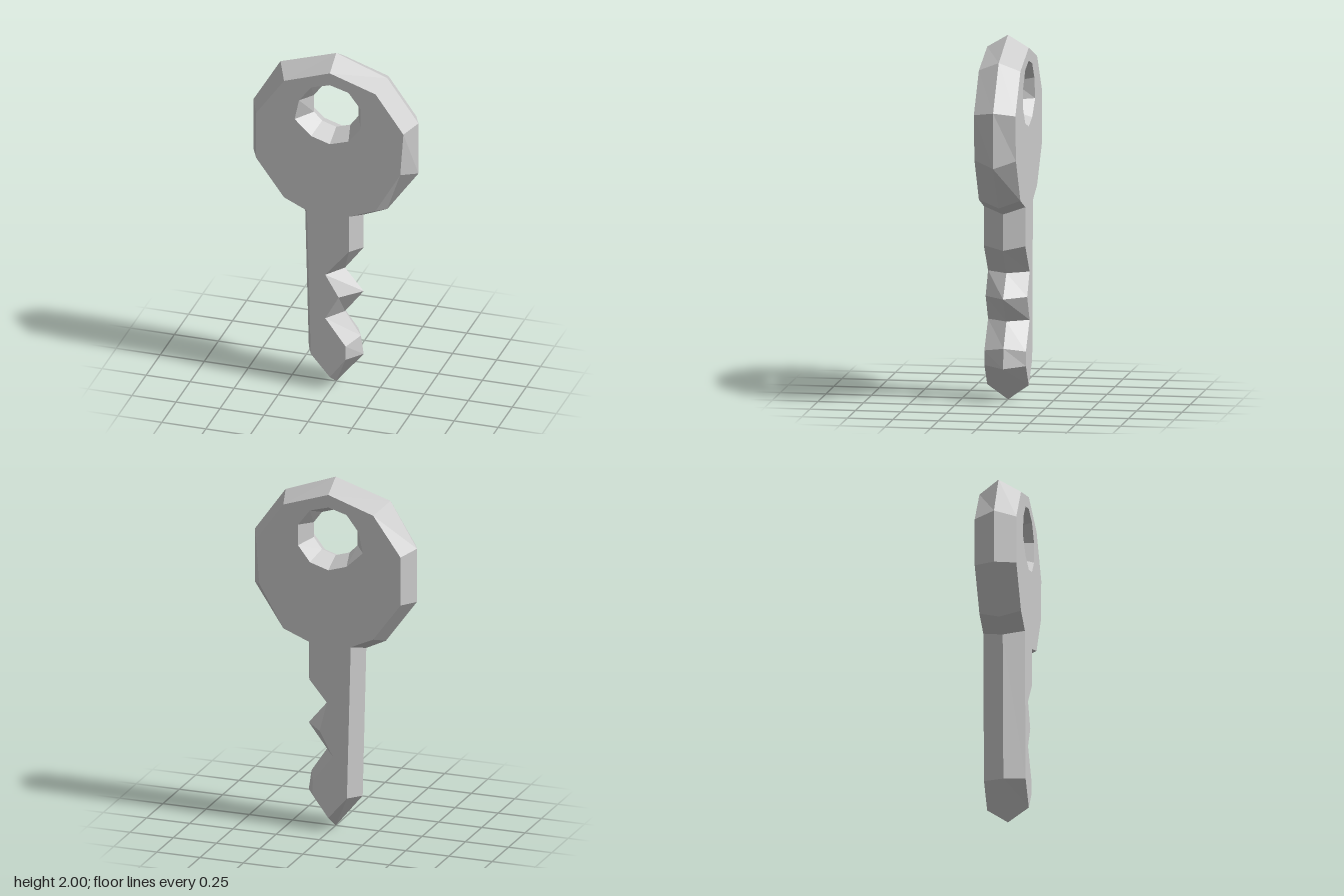
import * as THREE from 'three';

const HALF = 0.114; // half thickness

// Each row: mid-plane edge x, y, then the matching face corner x, y.
// The outline runs counter-clockwise from the tip.
const outline = [
  [0, 0, 0, 0.08],
  // right side with the teeth
  [0.156, 0.19, 0.09, 0.2],
  [0.14, 0.3, 0.09, 0.28],
  [0.05, 0.435, -0.026, 0.435],
  [0.156, 0.573, 0.05, 0.573],
  [0.05, 0.7, -0.026, 0.7],
  [0.156, 0.84, 0.108, 0.86],
  [0.156, 1.04, 0.108, 1.075],
  // bow
  [0.29, 1.095, 0.26, 1.135],
  [0.467, 1.34, 0.4, 1.375],
  [0.467, 1.645, 0.418, 1.625],
  [0.29, 1.893, 0.26, 1.845],
  [0, 2, 0, 1.932],
  [-0.317, 1.9, -0.26, 1.845],
  [-0.47, 1.645, -0.418, 1.625],
  [-0.47, 1.34, -0.418, 1.35],
  [-0.29, 1.095, -0.26, 1.135],
  // straight left side
  [-0.177, 1.04, -0.13, 1.075],
  [-0.156, 0.19, -0.108, 0.205],
];

// Ring hole, clockwise from the top
const hole = [
  [0, 1.813, 0, 1.86],
  [0.08, 1.787, 0.106, 1.83],
  [0.127, 1.723, 0.175, 1.74],
  [0.127, 1.638, 0.175, 1.622],
  [0.08, 1.575, 0.106, 1.533],
  [0, 1.55, 0, 1.5],
  [-0.08, 1.575, -0.106, 1.533],
  [-0.127, 1.622, -0.2, 1.622],
  [-0.127, 1.723, -0.175, 1.74],
  [-0.08, 1.787, -0.106, 1.83],
];

// Two bevel strips meeting at a ridge on the mid plane
function bevel(loop) {
  const pos = [];
  loop.forEach((a, i) => {
    const b = loop[(i + 1) % loop.length];
    for (const s of [1, -1]) {
      const ma = [a[0], a[1], 0], mb = [b[0], b[1], 0];
      const fa = [a[2], a[3], s * HALF], fb = [b[2], b[3], s * HALF];
      if (s > 0) pos.push(...ma, ...mb, ...fb, ...ma, ...fb, ...fa);
      else pos.push(...mb, ...ma, ...fa, ...mb, ...fa, ...fb);
    }
  });
  const geo = new THREE.BufferGeometry();
  geo.setAttribute('position', new THREE.Float32BufferAttribute(pos, 3));
  geo.computeVertexNormals();
  return geo;
}

// Flat face with the ring hole cut out; side is +1 front, -1 back
function face(side) {
  const corners = (loop) => loop.map((p) => new THREE.Vector2(p[2], p[3]));
  const shape = new THREE.Shape(corners(outline));
  shape.holes.push(new THREE.Path(corners(hole)));
  const geo = new THREE.ShapeGeometry(shape);
  if (side < 0) geo.index.array.reverse();
  geo.translate(0, 0, side * HALF);
  geo.computeVertexNormals();
  return geo;
}

export function createModel() {
  const key = new THREE.Group();
  key.name = 'key';
  const material = new THREE.MeshStandardMaterial({ color: 0xcccccc, flatShading: true });
  const add = (name, geo) => {
    const mesh = new THREE.Mesh(geo, material);
    mesh.name = name;
    key.add(mesh);
  };
  add('frontFace', face(1));
  add('backFace', face(-1));
  add('outerBevel', bevel(outline));
  add('ringHoleBevel', bevel(hole));
  return key;
}
